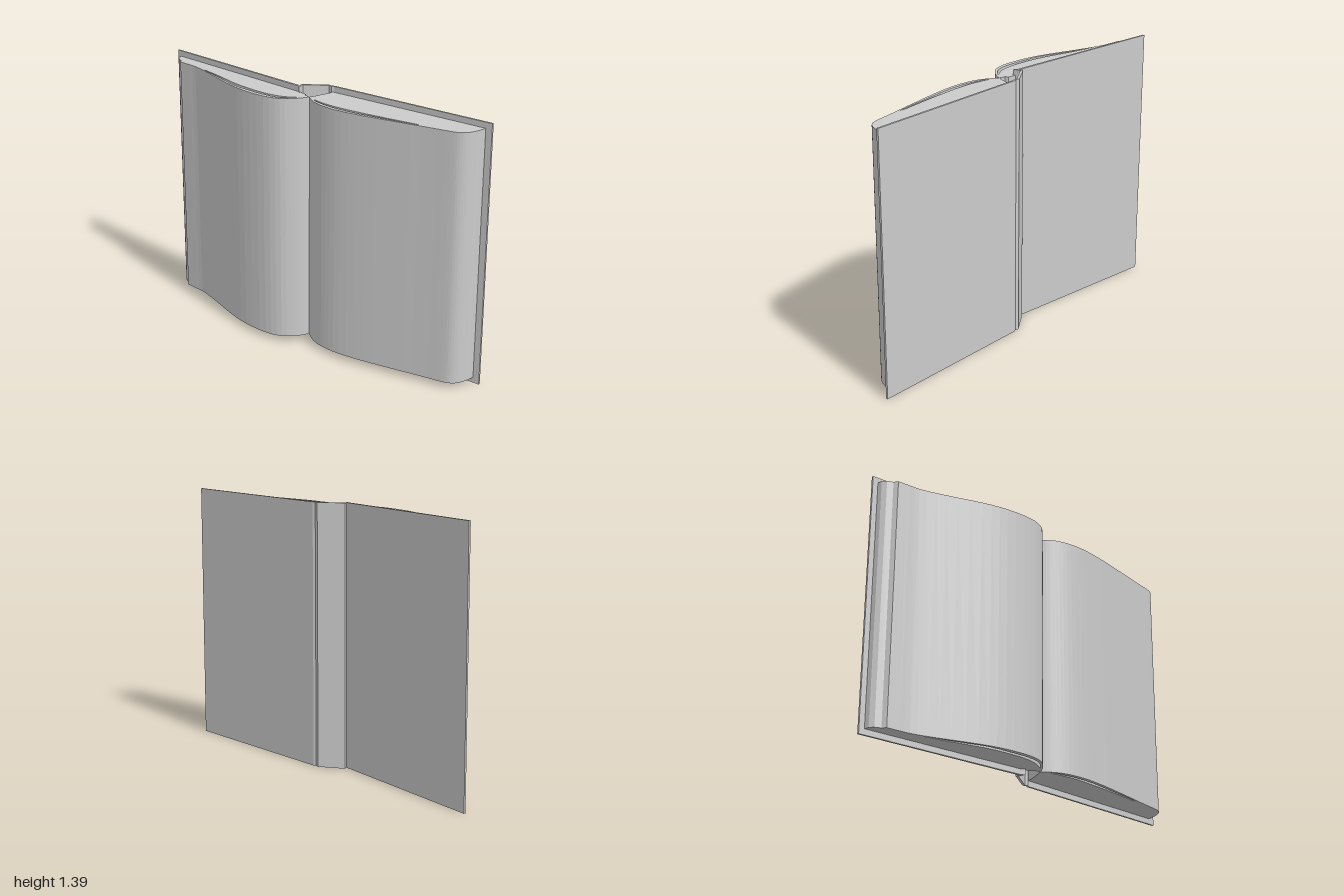
import * as THREE from 'three';

const COVER_H = 1.39, PAGE_Y = 0.03, PAGE_H = 1.33;

// Points are plan positions [x, z]; shapes use y = -z so they can be stood upright.
const toV = (pts) => pts.map(([x, z]) => new THREE.Vector2(x, -z));
const smooth = (pts, n) => new THREE.SplineCurve(toV(pts)).getPoints(n);

// Stand a plan outline up along y.
function upright(name, outline, y, height, holes = []) {
  const shape = new THREE.Shape(outline);
  holes.forEach((h) => shape.holes.push(new THREE.Path(h)));
  const geo = new THREE.ExtrudeGeometry(shape, { depth: height, bevelEnabled: false });
  geo.rotateX(-Math.PI / 2);
  geo.translate(0, y, 0);
  const mesh = new THREE.Mesh(geo, new THREE.MeshStandardMaterial({ color: 0xcccccc }));
  mesh.name = name;
  return mesh;
}

export function createModel() {
  const book = new THREE.Group();
  book.name = 'openBook';

  // Cover: two boards joined by a slanted spine with hinges
  book.add(upright('cover', toV([
    [-1, -0.142], [-0.075, -0.042], [-0.086, -0.062], [0.035, -0.142], [0.055, -0.138], [0.068, -0.144],
    [1, -0.144], [1, -0.133], [0.07, -0.133], [0.058, -0.127], [0.04, -0.13],
    [-0.07, -0.057], [-0.062, -0.016], [-0.078, -0.029], [-1, -0.131],
  ]), 0, COVER_H));

  // Pages at -x: arched block, with a slit under the lifted leaves
  const leftTop = smooth([
    [-0.905, -0.045], [-0.84, -0.037], [-0.76, -0.024], [-0.62, 0.025], [-0.45, 0.09],
    [-0.32, 0.125], [-0.18, 0.138], [-0.09, 0.122], [-0.03, 0.08], [0.005, 0.035], [0.02, 0.005],
  ], 28);
  const leftSlit = [
    ...smooth([[-0.71, -0.012], [-0.58, 0.028], [-0.42, 0.086], [-0.3, 0.106], [-0.17, 0.114],
      [-0.08, 0.1], [-0.012, 0.042]], 16),
    ...smooth([[-0.03, 0.052], [-0.09, 0.082], [-0.18, 0.094], [-0.3, 0.086], [-0.42, 0.064],
      [-0.58, 0.016], [-0.7, -0.014]], 16),
  ];
  book.add(upright('leftPages', [
    ...toV([[-0.972, -0.127], [-0.968, -0.1], [-0.95, -0.08], [-0.92, -0.066]]),
    ...leftTop,
    ...toV([[0.005, 0], [-0.015, -0.004], [-0.022, -0.02], [-0.064, -0.028]]),
  ], PAGE_Y, PAGE_H, [leftSlit]));

  // Pages at +x: flatter block with a rounded fore-edge
  const rightTop = smooth([
    [0.02, 0.005], [0.06, 0.038], [0.11, 0.064], [0.18, 0.082], [0.28, 0.088], [0.42, 0.075],
    [0.6, 0.047], [0.75, 0.022], [0.86, 0.005], [0.905, -0.008], [0.935, -0.035],
    [0.955, -0.08], [0.965, -0.133],
  ], 36);
  const rightSlit = [
    ...smooth([[0.065, 0.03], [0.13, 0.052], [0.22, 0.066], [0.34, 0.066], [0.5, 0.048], [0.7, 0.022]], 16),
    ...smooth([[0.68, 0.018], [0.5, 0.036], [0.34, 0.047], [0.22, 0.049], [0.13, 0.04], [0.075, 0.027]], 16),
  ];
  book.add(upright('rightPages', [
    ...rightTop,
    ...toV([[0.064, -0.131], [0.058, -0.1], [0.035, -0.03]]),
  ], PAGE_Y, PAGE_H, [rightSlit]));

  return book;
}
